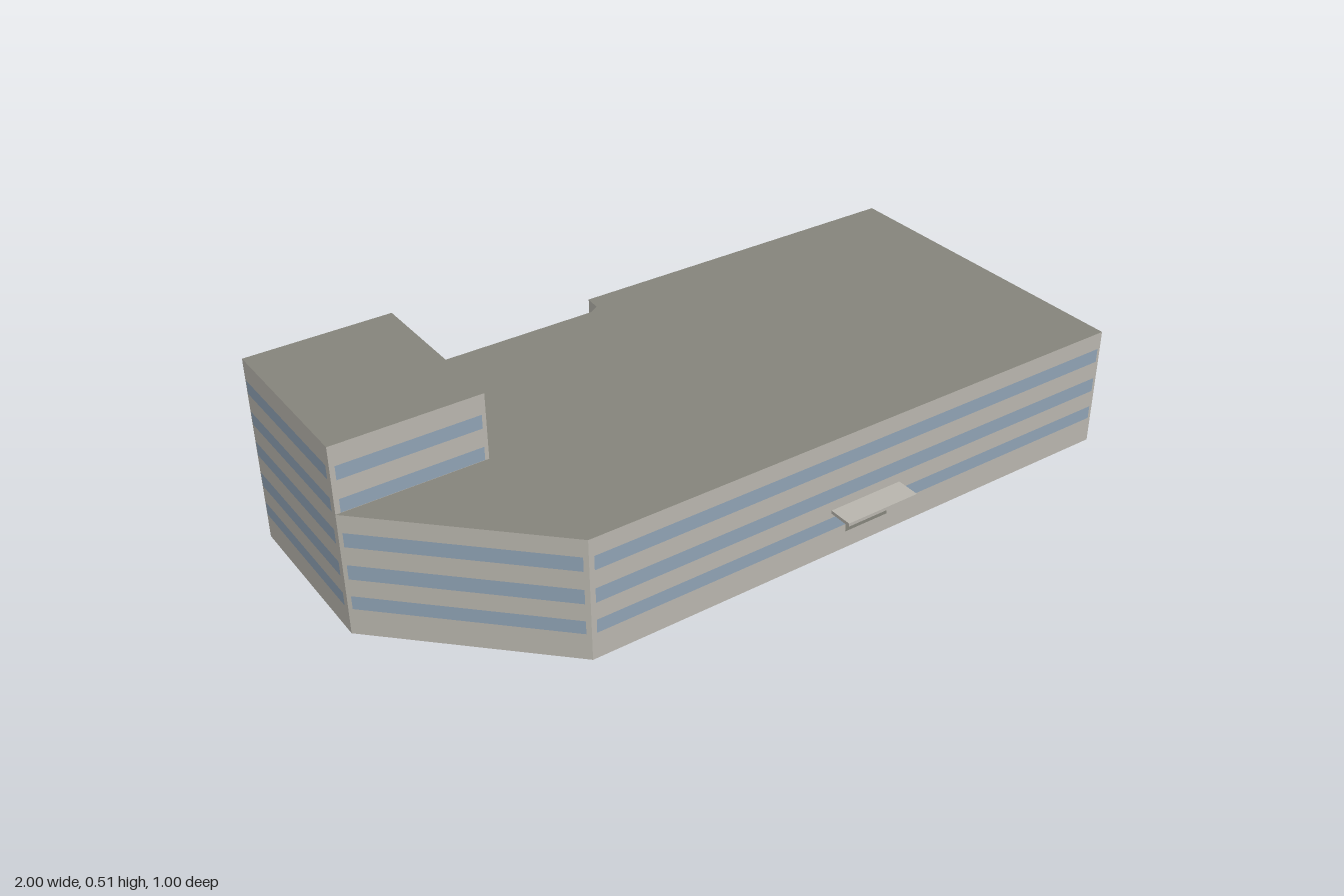
import * as THREE from 'three';

const material = (name, color, side = THREE.FrontSide) => {
  const m = new THREE.MeshStandardMaterial({ color, side });
  m.name = name;
  return m;
};

export function createModel() {
  const wallMat = material('wall grey', 0xb8b5ad, THREE.DoubleSide);
  const roofMat = material('roof grey', 0x85847b, THREE.DoubleSide);
  const glassMat = material('window blue', 0x8fa2b4);
  const model = new THREE.Group();
  model.name = 'officeBuilding';

  const floors = [[0.075, 0.112], [0.16, 0.2], [0.25, 0.289]];
  const towerFloors = [...floors, [0.338, 0.374], [0.424, 0.461]];
  const mainTop = 0.335, towerTop = 0.513;

  // Upright panel from a to b (left to right seen from outside), as [x, z]
  function panel(name, parent, mat, a, b, y0, y1, inset = 0, out = 0) {
    const dx = b[0] - a[0], dz = b[1] - a[1], len = Math.hypot(dx, dz);
    const mesh = new THREE.Mesh(new THREE.PlaneGeometry(len - 2 * inset, y1 - y0), mat);
    mesh.name = name;
    mesh.rotation.y = Math.atan2(-dz, dx);
    mesh.position.set(
      (a[0] + b[0]) / 2 - dz / len * out,
      (y0 + y1) / 2,
      (a[1] + b[1]) / 2 + dx / len * out
    );
    parent.add(mesh);
  }

  // Wall with one ribbon window per floor
  function facade(parent, a, b, top, rows) {
    panel('wall', parent, wallMat, a, b, 0, top);
    for (const [y0, y1] of rows) panel('ribbonWindow', parent, glassMat, a, b, y0, y1, 0.012, 0.003);
  }

  // Flat roof through plan points
  function roof(name, parent, points, y) {
    const shape = new THREE.Shape(points.map(([x, z]) => new THREE.Vector2(x, -z)));
    const mesh = new THREE.Mesh(new THREE.ShapeGeometry(shape).rotateX(-Math.PI / 2), roofMat);
    mesh.name = name;
    mesh.position.y = y;
    parent.add(mesh);
  }

  // Main block: cut front corner, small step in the back wall, open underneath
  const main = new THREE.Group();
  main.name = 'mainBlock';
  const plan = [[-0.997, 0.03], [-0.592, 0.431], [0.995, 0.431], [0.995, -0.497],
    [-0.007, -0.497], [-0.012, -0.45], [-0.04, -0.433], [-0.61, -0.433]];
  for (let i = 0; i < plan.length - 1; i++) {
    const isStep = i === 4 || i === 5;
    facade(main, plan[i], plan[i + 1], mainTop, isStep ? [] : floors);
  }
  roof('mainRoof', main, [...plan, [-0.61, 0.03]], mainTop);

  // Stair tower: four walls down to the ground
  const tower = new THREE.Group();
  tower.name = 'tower';
  const corners = [[-0.997, 0.03], [-0.61, 0.03], [-0.61, -0.433], [-0.997, -0.433]];
  corners.forEach((c, i) => facade(tower, c, corners[(i + 1) % 4], towerTop, towerFloors));
  for (const [y0, y1] of floors) {
    panel('innerWindow', tower, glassMat, corners[1], corners[0], y0, y1, 0.012, 0.003);
  }
  roof('towerRoof', tower, corners, towerTop);

  // Entrance: door panel under a thin canopy
  const entrance = new THREE.Group();
  entrance.name = 'entrance';
  panel('door', entrance, roofMat, [0.137, 0.431], [0.27, 0.431], 0.055, 0.123, 0, 0.006);
  const canopy = new THREE.Mesh(new THREE.BoxGeometry(0.216, 0.009, 0.066), wallMat);
  canopy.name = 'canopy';
  canopy.position.set(0.203, 0.127, 0.464);
  entrance.add(canopy);

  model.add(main, tower, entrance);
  return model;
}
